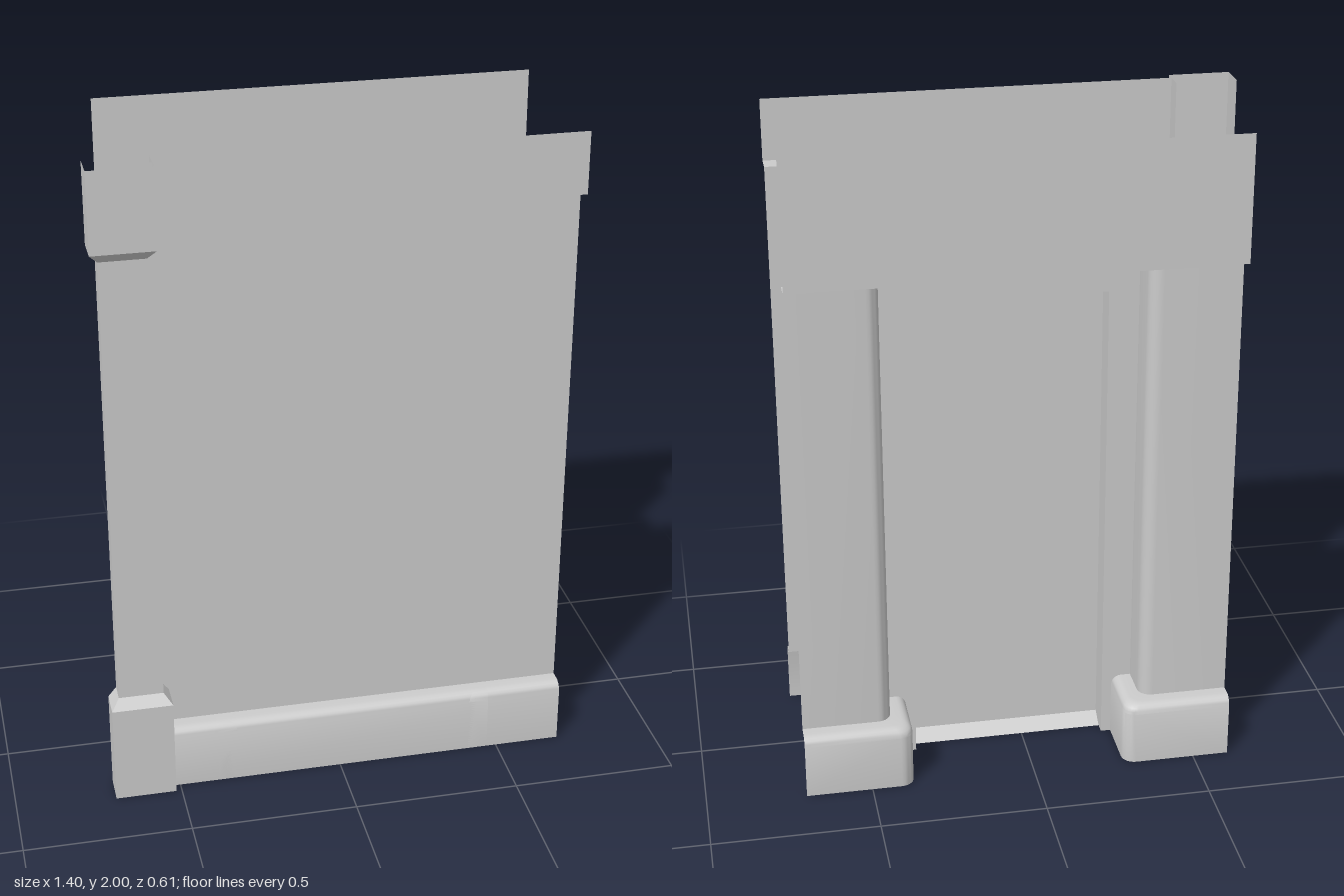
import * as THREE from 'three';
import { toCreasedNormals } from 'three/addons/utils/BufferGeometryUtils.js';

const CX = 0.045, CZ = -0.015;            // centre of the doorway and of the wall thickness
const LINTEL = 0.29, WALL = 0.23, INNER = 0.098; // distances from the wall's mid-plane
const HALF = 0.655, OPEN = 0.385, DOOR = 0.295;  // half widths
const DOOR_TOP = 1.49, STEP = 0.06, R = 0.04;

const material = new THREE.MeshStandardMaterial({ color: 0xcccccc, side: THREE.DoubleSide });

function add(parent, name, geometry) {
  const mesh = new THREE.Mesh(geometry, material);
  mesh.name = name;
  parent.add(mesh);
  return mesh;
}

// Surface through rows of [x, y, z] points
function skin(rows) {
  const n = rows[0].length, index = [];
  for (let i = 0; i < rows.length - 1; i++) {
    for (let j = 0; j < n - 1; j++) {
      const a = i * n + j, b = a + 1, c = a + n, d = c + 1;
      index.push(a, b, d, a, d, c);
    }
  }
  const g = new THREE.BufferGeometry();
  g.setAttribute('position', new THREE.Float32BufferAttribute(rows.flat(2), 3));
  g.setIndex(index);
  return toCreasedNormals(g, 0.6);
}

// Height profile: plinth with rounded top, then plain wall, as [projection, y]
function wallProfile(top) {
  const rows = [[STEP, 0]];
  for (let i = 0; i <= 5; i++) {
    const a = (i / 5) * Math.PI / 2;
    rows.push([STEP - 0.03 + 0.03 * Math.cos(a), 0.17 + 0.03 * Math.sin(a)]);
  }
  return rows.concat([[0, 0.2], [0, top]]);
}

// Plan of a wall end: straight face, rounded corner, reveal
function plan(outer, d) {
  const pts = [[outer, WALL + d]];
  const cu = OPEN - d + R, cw = WALL + d - R;
  for (let i = 0; i <= 6; i++) {
    const a = Math.PI / 2 * (1 + i / 6);
    pts.push([cu + R * Math.cos(a), cw + R * Math.sin(a)]);
  }
  pts.push([OPEN - d, INNER]);
  return pts;
}

// Recess with wall ends, soffit, lintel and inner panel; s = +1 front, -1 back
function makeFace(s, name, top, outer) {
  const face = new THREE.Group();
  face.name = name;
  for (const m of [-1, 1]) {
    add(face, m > 0 ? 'leftWallEnd' : 'rightWallEnd', skin(wallProfile(top).map(
      ([d, y]) => plan(outer, d).map(([u, w]) => [CX + m * u, y, CZ + s * w]))));
  }

  // Soffit follows the plan of the wall
  const edge = plan(HALF, 0);
  const outline = [[HALF, LINTEL], ...edge,
    ...edge.map(([u, w]) => [-u, w]).reverse(), [-HALF, LINTEL]];
  const soffit = new THREE.ShapeGeometry(new THREE.Shape(
    outline.map(([u, w]) => new THREE.Vector2(u, s * w))));
  soffit.rotateX(Math.PI / 2);
  add(face, 'soffit', soffit).position.set(CX, top, CZ);

  const lintel = new THREE.PlaneGeometry(2 * HALF, 2 - top);
  if (s < 0) lintel.rotateY(Math.PI);
  add(face, 'lintel', lintel).position.set(CX, (2 + top) / 2, CZ + s * LINTEL);

  // Panel around the doorway
  const shape = new THREE.Shape([[-OPEN, 0], [-DOOR, 0], [-DOOR, DOOR_TOP], [DOOR, DOOR_TOP],
    [DOOR, 0], [OPEN, 0], [OPEN, top], [-OPEN, top]].map(([x, y]) => new THREE.Vector2(s * x, y)));
  const panel = new THREE.ShapeGeometry(shape);
  if (s < 0) panel.rotateY(Math.PI);
  add(face, 'doorSurround', panel).position.set(CX, 0, CZ + s * INNER);
  return face;
}

export function createModel() {
  const model = new THREE.Group();
  model.name = 'wallWithDoorway';

  model.add(makeFace(1, 'frontRecess', 1.815, OPEN + R));
  model.add(makeFace(-1, 'backRecess', 1.62, HALF));

  // Plain front wall with plinth
  add(model, 'frontWall', skin(wallProfile(1.815).map(
    ([d, y]) => [-HALF, HALF].map(u => [CX + u, y, CZ + WALL + d]))));

  // Jambs and head of the doorway
  add(model, 'doorFrame', skin([INNER, -INNER].map(w => [
    [-DOOR, 0], [-DOOR, DOOR_TOP], [DOOR, DOOR_TOP], [DOOR, 0],
  ].map(([u, y]) => [CX + u, y, CZ + w]))));

  // Door leaf and sloping threshold
  const leaf = new THREE.PlaneGeometry(2 * DOOR, DOOR_TOP);
  leaf.rotateY(Math.PI);
  add(model, 'door', leaf).position.set(CX, DOOR_TOP / 2, -0.035);
  add(model, 'threshold', skin([[0.0, -0.08], [0.03, -0.035]].map(
    ([y, z]) => [-DOOR, DOOR].map(u => [CX + u, y, z]))));

  // Stepped niche above the door
  [[0.43, 0.27, 0.078, 0.083], [0.35, 0.23, 0.022, 0.083], [0.235, 0.14, -0.05, 0.022]]
    .forEach(([w, h, z0, z1]) => add(model, 'nicheStep', new THREE.BoxGeometry(w, h, z1 - z0))
      .position.set(CX, 1.658, (z0 + z1) / 2));

  // Corner pilaster with base and capital, as [y, half width, front z]
  const pilaster = [[0, 0.0915, 0.305], [0.31, 0.0915, 0.305], [0.34, 0.067, 0.277],
    [1.73, 0.067, 0.277], [1.76, 0.0915, 0.305], [2, 0.0915, 0.305]];
  add(model, 'pilaster', skin(pilaster.map(([y, h, z]) => [
    [-h, 0.215], [-h, z], [h, z], [h, 0.215],
  ].map(([u, w]) => [-0.6085 + u, y, w]))));

  return model;
}
